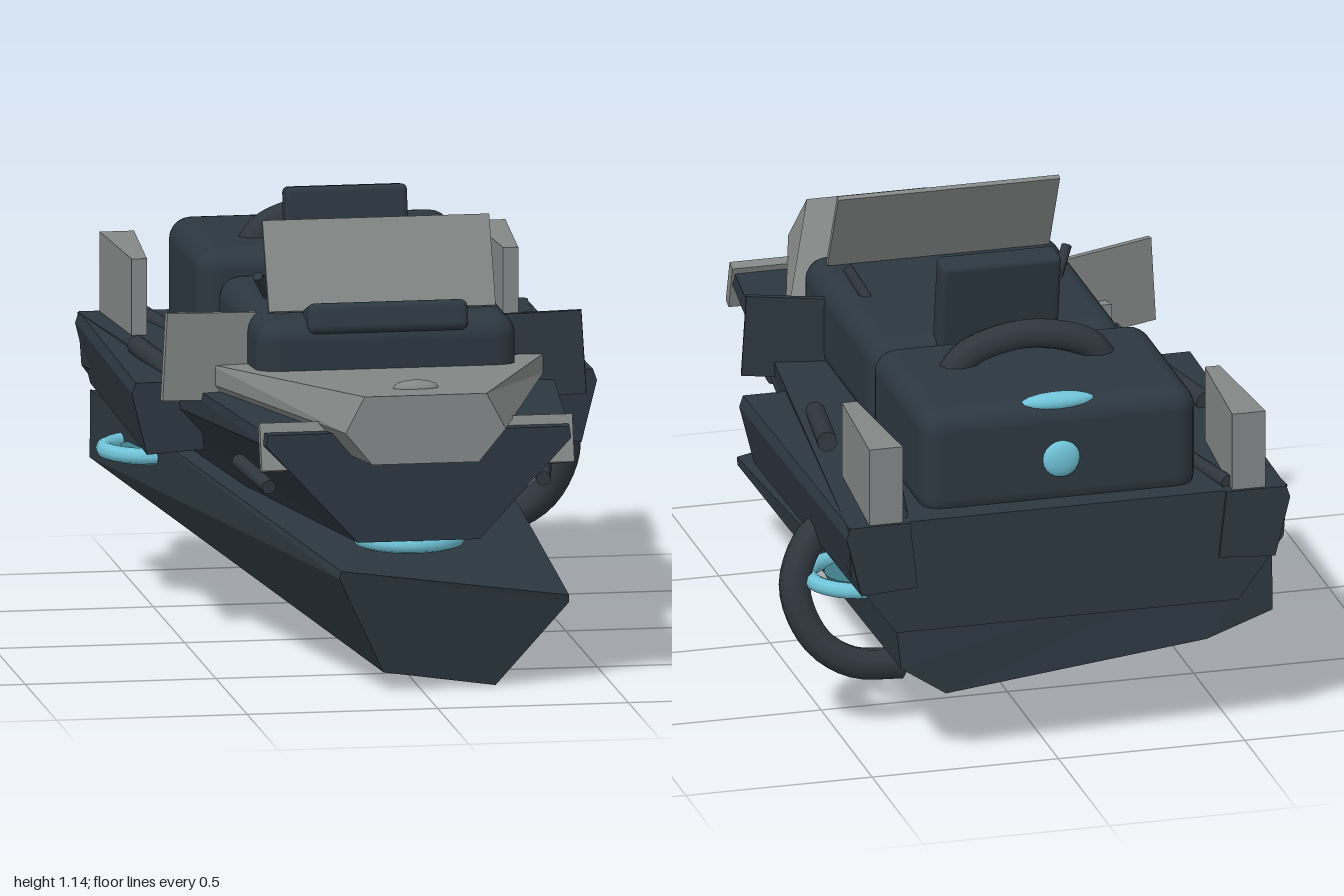
import * as THREE from 'three';
import { RoundedBoxGeometry } from 'three/addons/geometries/RoundedBoxGeometry.js';

const X = -0.03; // mid-plane of the upper craft

function material(name, color, extra = {}) {
  const m = new THREE.MeshStandardMaterial({ color, ...extra });
  m.name = name;
  return m;
}

// Closed solid between a front and a back section, listed counter-clockwise from the front
function loft(front, back) {
  const n = front.length, tris = [];
  for (let i = 0; i < n; i++) {
    const j = (i + 1) % n;
    tris.push(front[i], back[i], front[j], front[j], back[i], back[j]);
    if (i > 0 && i < n - 1) tris.push(front[0], front[i], front[i + 1], back[0], back[i + 1], back[i]);
  }
  const g = new THREE.BufferGeometry();
  g.setAttribute('position', new THREE.Float32BufferAttribute(tris.flat(), 3));
  g.computeVertexNormals();
  return g;
}

// Symmetric section from [halfWidth, y] pairs, top to bottom
function section(half, z) {
  return [
    ...half.map(([w, y]) => [X - w, y, z]),
    ...half.slice().reverse().map(([w, y]) => [X + w, y, z]),
  ];
}

function tube(points, radius, segments = 24) {
  const curve = new THREE.CatmullRomCurve3(points.map((p) => new THREE.Vector3(...p)));
  return new THREE.TubeGeometry(curve, segments, radius, 8);
}

export function createModel() {
  const model = new THREE.Group();
  model.name = 'hoverCraft';
  const dark = material('dark slate', 0x2c3740);
  const trim = material('charcoal', 0x2f373f);
  const grey = material('light grey', 0x838786);
  const cyan = material('cyan glow', 0x70c4d8);
  const teal = material('deep teal', 0x3f7c88);

  function add(name, geometry, mat, pos = [0, 0, 0], rot = [0, 0, 0]) {
    const mesh = new THREE.Mesh(geometry, mat);
    mesh.name = name;
    mesh.position.set(...pos);
    mesh.rotation.set(...rot);
    model.add(mesh);
    return mesh;
  }
  const box = (w, h, d) => new THREE.BoxGeometry(w, h, d);
  const round = (w, h, d, r) => new RoundedBoxGeometry(w, h, d, 3, r);

  // Straight rod with closed ends between two points
  function rod(name, a, b, r, mat = trim) {
    const p = new THREE.Vector3(...a), q = new THREE.Vector3(...b);
    const mesh = add(name, new THREE.CylinderGeometry(r, r, p.distanceTo(q), 8), mat);
    mesh.position.copy(p).add(q).multiplyScalar(0.5);
    mesh.quaternion.setFromUnitVectors(new THREE.Vector3(0, 1, 0), q.sub(p).normalize());
  }

  function lamp(name, mat, pos, scale) {
    add(name, new THREE.SphereGeometry(1, 16, 10), mat, pos).scale.set(...scale);
  }

  // Lower hull, pitched down and rolled to one side
  add('lowerHull', loft(
    [[-0.22, 0.33, 0.8], [-0.225, 0.31, 0.8], [-0.1, 0.05, 0.745], [0.2, 0, 0.705], [0.39, 0.215, 0.72], [0.39, 0.235, 0.725]],
    [[-0.6, 0.5, -0.9], [-0.6, 0.32, -0.91], [-0.42, 0.26, -0.92], [0.28, 0.18, -0.92], [0.4, 0.26, -0.92], [0.41, 0.37, -0.91]],
  ), dark);

  // Upper hull
  add('upperHull', loft(
    section([[0.395, 0.71], [0.4, 0.68], [0.16, 0.42]], 0.88),
    section([[0.59, 0.69], [0.58, 0.55], [0.46, 0.385]], -0.98),
  ), dark);

  // Hood wedge with its badge-like dome
  add('hood', loft(
    section([[0.16, 0.825], [0.21, 0.73], [0.14, 0.645]], 0.99),
    section([[0.44, 0.77], [0.44, 0.72], [0.41, 0.68]], 0.19),
  ), grey);
  lamp('hoodDome', grey, [X, 0.815, 0.83], [0.06, 0.02, 0.032]);
  add('frontBumper', box(0.82, 0.125, 0.03), grey, [X, 0.67, 0.838], [-0.3, 0, 0]);

  // Cockpit block, bolster, windshield and seat back
  add('cockpitBlock', round(0.68, 0.25, 0.7, 0.06), dark, [X, 0.79, 0.05]);
  add('frontBolster', round(0.42, 0.08, 0.11, 0.02), dark, [X, 0.907, 0.35], [-0.3, 0, 0]);
  add('windshield', box(0.595, 0.245, 0.014), grey, [X, 1.03, 0.238], [-0.445, 0, 0]);
  add('seatBack', round(0.32, 0.27, 0.075, 0.015), dark, [X, 1.0, -0.288], [-0.16, 0, 0]);

  // Rear engine block with handle and lights
  add('rearBlock', round(0.74, 0.3, 0.53, 0.06), dark, [X, 0.805, -0.655]);
  add('rearHandle', tube([[X - 0.21, 0.92, -0.58], [X - 0.16, 0.98, -0.58], [X, 1.02, -0.58], [X + 0.16, 0.98, -0.58], [X + 0.21, 0.92, -0.58]], 0.04), trim);
  lamp('topLight', cyan, [X, 0.945, -0.88], [0.1, 0.025, 0.03]);
  lamp('tailLight', cyan, [X, 0.8, -0.92], [0.05, 0.05, 0.02]);

  // Side plates beside the cockpit
  add('rightSidePlate', box(0.25, 0.23, 0.016), grey, [-0.475, 0.798, 0.23], [0, 0.23, -0.06]);
  add('leftSidePlate', box(0.22, 0.22, 0.016), dark, [0.405, 0.77, 0.19], [0, -0.2, 0.06]);

  for (const s of [-1, 1]) {
    // Rear fenders
    const fender = (z, grow) => {
      const pts = [[0.44, 0.69], [0.42, 0.51], [0.57, 0.5], [0.61, 0.66], [0.6, 0.69]];
      const sec = pts.map(([w, y]) => [X + s * (w + grow), y, z]);
      return s > 0 ? sec : sec.reverse();
    };
    add('rearFender', loft(fender(0.01, 0), fender(-0.99, -0.015)), dark);

    // Wedge fins at the stern
    const fin = (z, t, top) => [[-t, top], [-t, 0.68], [t, 0.68], [t, top]].map(([x, y]) => [X + s * 0.487 + x, y, z]);
    add('sternFin', loft(fin(-0.62, 0.02, 0.895), fin(-0.98, 0.045, 0.9)), grey);

    // Control levers, and strakes on deck and bow
    rod('controlLever', [X + s * 0.25, 0.9, 0.05], [X + s * 0.295, 0.98, 0.105], 0.014);
    rod('sternStrake', [X + s * 0.39, 0.69, -0.7], [X + s * 0.44, 0.7, -0.95], 0.02);
    rod('bowStrake', [X + s * 0.36, 0.535, 0.68], [X + s * 0.4, 0.56, 0.44], 0.02);
  }
  rod('rightDeckRail', [-0.56, 0.71, -0.4], [-0.5, 0.69, -0.02], 0.027);
  rod('leftDeckRail', [0.475, 0.73, -0.47], [0.42, 0.69, -0.15], 0.027);

  // Glowing lift rings under the upper hull
  for (const [x, z] of [[X, 0.725], [X - 0.458, -0.585], [X + 0.458, -0.585]]) {
    add('liftRing', new THREE.TorusGeometry(0.126, 0.022, 8, 28), cyan, [x, 0.403, z], [Math.PI / 2, 0, 0]);
    add('liftCore', new THREE.CylinderGeometry(0.085, 0.07, 0.03, 20), teal, [x, 0.395, z]);
  }

  // Hose joining the two hulls
  add('hullHose', tube([[0.44, 0.54, -0.54], [0.53, 0.52, -0.555], [0.596, 0.39, -0.59],
    [0.55, 0.25, -0.625], [0.46, 0.185, -0.645], [0.32, 0.165, -0.64]], 0.042), trim);

  return model;
}
